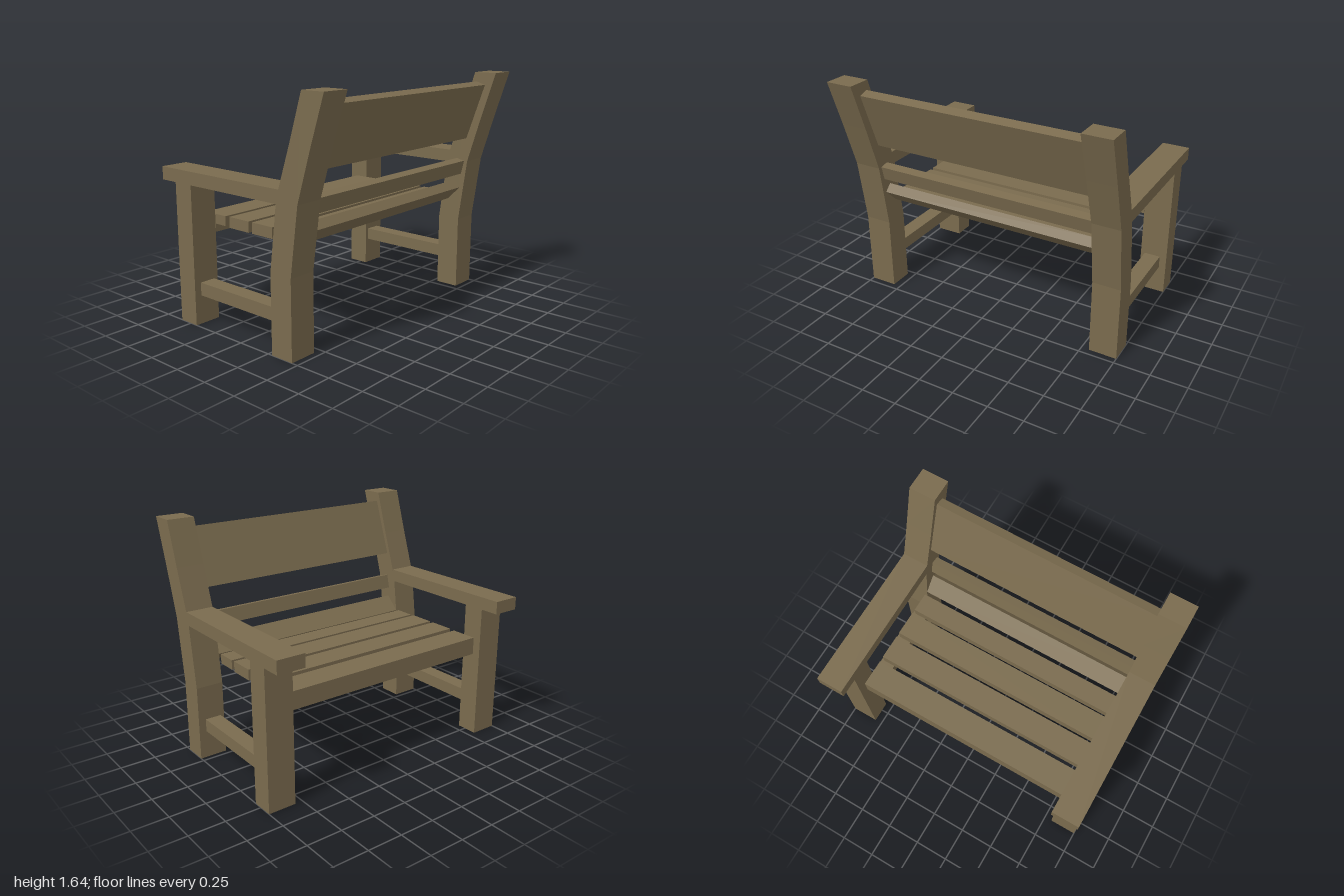
import * as THREE from 'three';

const INNER = 0.805; // inner face of the side frames
const OUTER = 1;

export function createModel() {
  const bench = new THREE.Group();
  bench.name = 'gardenBench';
  const wood = new THREE.MeshStandardMaterial({ color: 0x7a6b4e, flatShading: true });

  const add = (name, geometry, parent) => {
    const mesh = new THREE.Mesh(geometry, wood);
    mesh.name = name;
    parent.add(mesh);
    return mesh;
  };

  // box given by its minimum and maximum corners
  const beam = (name, [x0, y0, z0], [x1, y1, z1], parent) => {
    const mesh = add(name, new THREE.BoxGeometry(x1 - x0, y1 - y0, z1 - z0), parent);
    mesh.position.set((x0 + x1) / 2, (y0 + y1) / 2, (z0 + z1) / 2);
  };

  // side profile in x/y extruded between two z values
  const profile = (name, points, z0, z1, parent) => {
    const shape = new THREE.Shape(points.map(([x, y]) => new THREE.Vector2(x, y)));
    const geometry = new THREE.ExtrudeGeometry(shape, { depth: z1 - z0, bevelEnabled: false });
    add(name, geometry.translate(0, 0, z0), parent);
  };

  // bent rear post, which carries on up as the backrest post
  const post = [
    [0.285, 0], [0.455, 0], [0.455, 0.53], [0.517, 0.985], [0.617, 1.31],
    [0.725, 1.64], [0.557, 1.64], [0.46, 1.335], [0.365, 1.055], [0.342, 0.965], [0.285, 0.53],
  ];

  // side frames, mirrored by swapping the z range
  for (const side of [1, -1]) {
    const frame = new THREE.Group();
    frame.name = side > 0 ? 'leftFrame' : 'rightFrame';
    bench.add(frame);
    const span = (a, b) => (side > 0 ? [a, b] : [-b, -a]);
    const [z0, z1] = span(INNER, OUTER);
    const [s0, s1] = span(0.835, 0.95);
    profile('rearPost', post, z0, z1, frame);
    beam('frontLeg', [-0.595, 0, z0], [-0.44, 0.965, z1], frame);
    beam('armrest', [-0.73, 0.965, z0], [0.365, 1.055, z1], frame);
    beam('stretcher', [-0.44, 0.2, s0], [0.28, 0.29, s1], frame);
  }

  // flat seat slats: x start, x end, bottom, top
  const slats = [
    [-0.535, -0.337, 0.67, 0.738],
    [-0.297, -0.113, 0.665, 0.741],
    [-0.08, 0.105, 0.665, 0.741],
    [0.136, 0.282, 0.67, 0.738],
  ];
  for (const [x0, x1, y0, y1] of slats) {
    beam('seatSlat', [x0, y0, -INNER], [x1, y1, INNER], bench);
  }
  beam('frontApron', [-0.535, 0.613, -INNER], [-0.437, 0.67, INNER], bench);

  // leaning boards at the back
  profile('tiltedSeatSlat', [[0.311, 0.73], [0.36, 0.68], [0.46, 0.78], [0.411, 0.83]], -INNER, INNER, bench);
  profile('lowerBackSlat', [[0.405, 0.899], [0.467, 0.885], [0.49, 0.985], [0.428, 0.999]], -INNER, INNER, bench);
  profile('backBoard', [[0.435, 1.176], [0.503, 1.155], [0.641, 1.553], [0.573, 1.574]], -INNER, INNER, bench);

  return bench;
}
